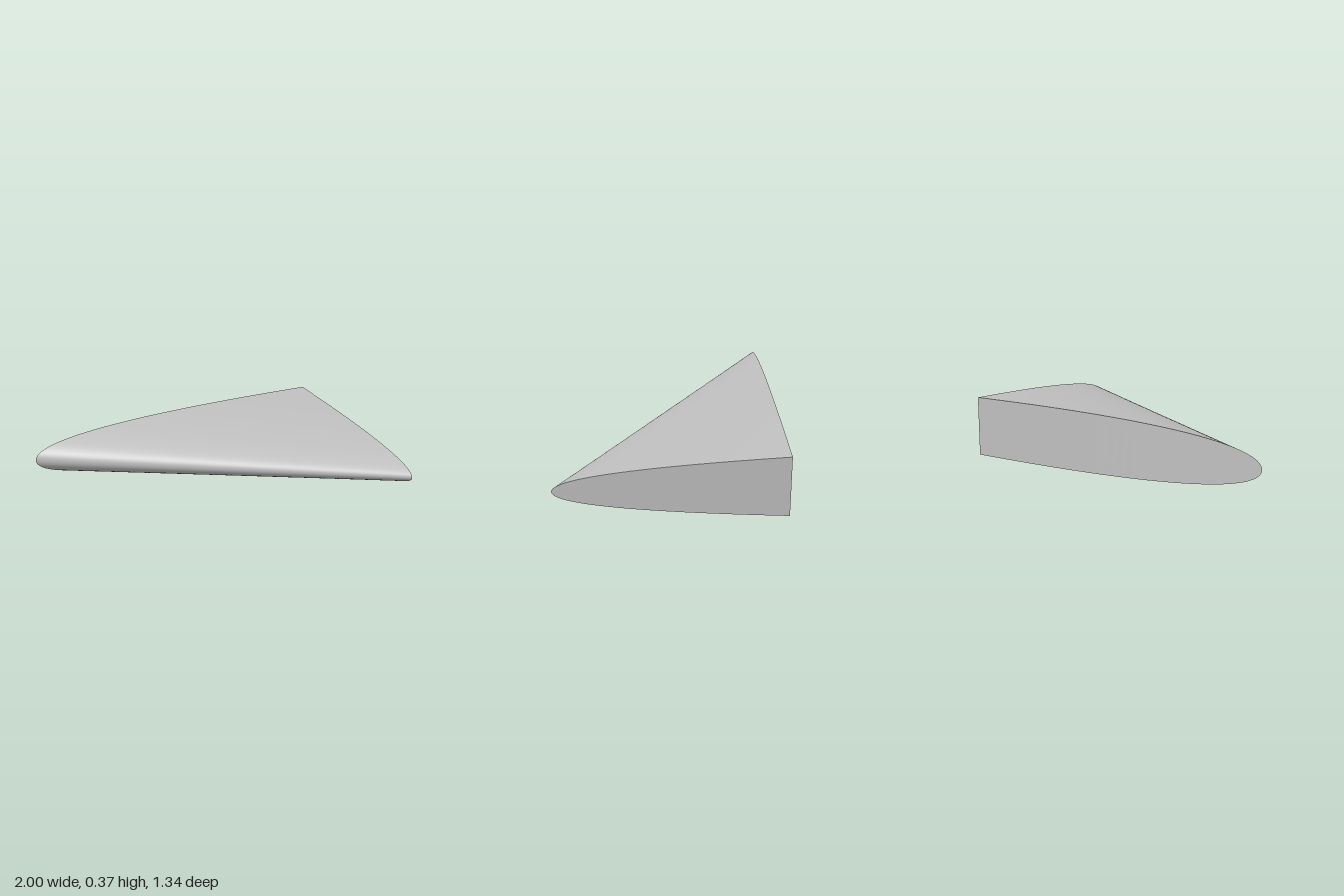
import * as THREE from 'three';

const END = 0.185, MID = 0.188, DEPTH = 0.67;
const STEPS = 40, COLS = 16;

// Half thickness at s (0 = rounded leading edge, 1 = thick rear corner)
const halfHeight = (s, bulge) => END * (2 * bulge * s * (1 - s) + s * s);
const BACK = 1.13, SIDE = 0.63;

// Point on the skin: s from -1 (bottom) to 1 (top), u from back face (0) to side face (1)
function skinPoint(s, u) {
  const a = Math.abs(s), t = a * a;
  const h = THREE.MathUtils.lerp(halfHeight(a, BACK), halfHeight(a, SIDE), u);
  return [
    THREE.MathUtils.lerp(-1 + 2 * t, 1, u),
    MID + Math.sign(s) * h,
    THREE.MathUtils.lerp(-DEPTH, DEPTH * (1 - 2 * t), u),
  ];
}

// Grid surface from a point rule; p runs along i, q along j
function grid(ni, nj, rule, flip) {
  const pos = [], index = [];
  for (let i = 0; i <= ni; i++)
    for (let j = 0; j <= nj; j++) pos.push(...rule(i / ni, j / nj));
  for (let i = 0; i < ni; i++)
    for (let j = 0; j < nj; j++) {
      const a = i * (nj + 1) + j, b = a + 1, c = a + nj + 1, d = c + 1;
      if (flip) index.push(a, c, b, b, c, d);
      else index.push(a, b, c, b, d, c);
    }
  const g = new THREE.BufferGeometry();
  g.setAttribute('position', new THREE.Float32BufferAttribute(pos, 3));
  g.setIndex(index);
  g.computeVertexNormals();
  return g;
}

export function createModel() {
  const group = new THREE.Group();
  const grey = new THREE.MeshStandardMaterial({ color: 0xc0c0c0 });
  grey.name = 'light grey';
  const add = (name, geometry) => {
    const mesh = new THREE.Mesh(geometry, grey);
    mesh.name = name;
    group.add(mesh);
  };

  // Curved skin wrapping round the slanted leading edge
  add('curvedSkin', grid(2 * STEPS, COLS, (p, q) => skinPoint(2 * p - 1, q), false));

  // Flat end faces, filled between the lower and upper edge
  const cap = (u) => (p, q) => {
    const low = skinPoint(-p, u), high = skinPoint(p, u);
    return [low[0], THREE.MathUtils.lerp(low[1], high[1], q), low[2]];
  };
  add('backFace', grid(STEPS, 1, cap(0), false));
  add('sideFace', grid(STEPS, 1, cap(1), true));
  return group;
}
